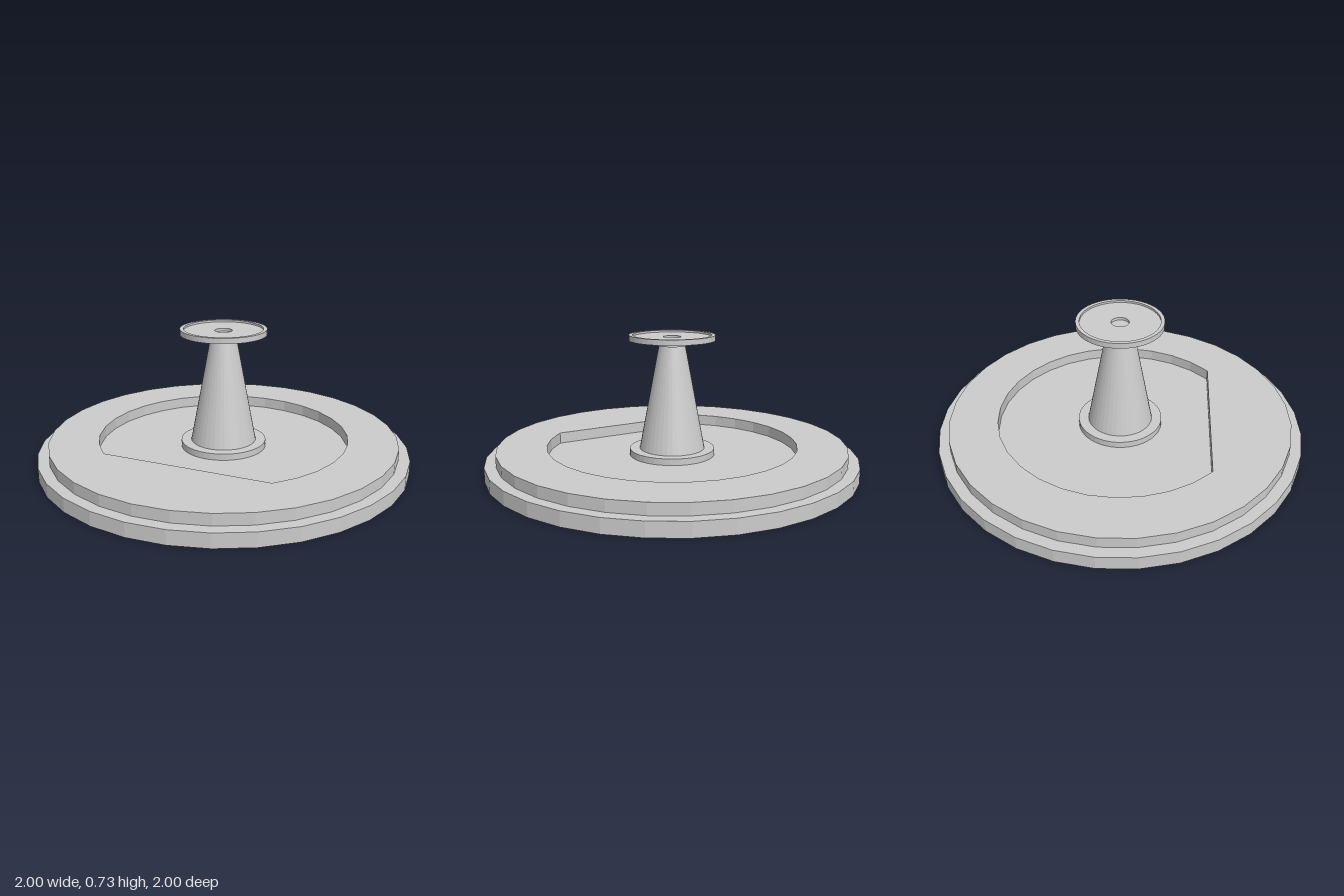
import * as THREE from 'three';

const SIDES = 32;
const material = new THREE.MeshStandardMaterial({ color: 0xcccccc, flatShading: true });

function addPart(group, name, geometry, y = 0) {
  const mesh = new THREE.Mesh(geometry, material);
  mesh.name = name;
  mesh.position.y = y;
  group.add(mesh);
}

// Points on a circle, counter-clockwise between two angles
function arc(radius, from, to, steps) {
  return Array.from({ length: steps + 1 }, (_, i) => {
    const a = from + ((to - from) * i) / steps;
    return new THREE.Vector2(radius * Math.cos(a), radius * Math.sin(a));
  });
}

const lathe = (profile, sides) =>
  new THREE.LatheGeometry(profile.map(([r, y]) => new THREE.Vector2(r, y)), sides);

export function createModel() {
  const model = new THREE.Group();
  model.name = 'dialStand';

  // Broad base disc; its top is also the floor of the recess
  addPart(model, 'baseDisc', new THREE.CylinderGeometry(1, 1, 0.075, SIDES), 0.0375);

  // Raised ring, its opening cut straight at the front right
  const ring = new THREE.Shape(arc(0.94, 0, Math.PI * 2, SIDES).slice(0, -1));
  ring.holes.push(new THREE.Path(arc(0.675, -Math.PI / 2, Math.PI * 1.028, 24)));
  const ringGeometry = new THREE.ExtrudeGeometry(ring, { depth: 0.06, bevelEnabled: false });
  ringGeometry.rotateX(-Math.PI / 2);
  addPart(model, 'raisedRing', ringGeometry, 0.075);

  // Foot, tapered column and neck
  addPart(model, 'columnFoot', new THREE.CylinderGeometry(0.23, 0.23, 0.035, 48), 0.0925);
  addPart(model, 'taperedColumn', new THREE.CylinderGeometry(0.07, 0.177, 0.565, 40), 0.3875);
  addPart(model, 'neck', new THREE.CylinderGeometry(0.083, 0.083, 0.03, 40), 0.685);

  // Shallow dish with a thin rim and a small central socket
  addPart(model, 'topDish', lathe([
    [0, 0.698], [0.23, 0.698], [0.23, 0.727], [0.21, 0.727],
    [0.21, 0.716], [0.047, 0.716], [0.047, 0.701], [0, 0.701],
  ], 48));

  return model;
}
